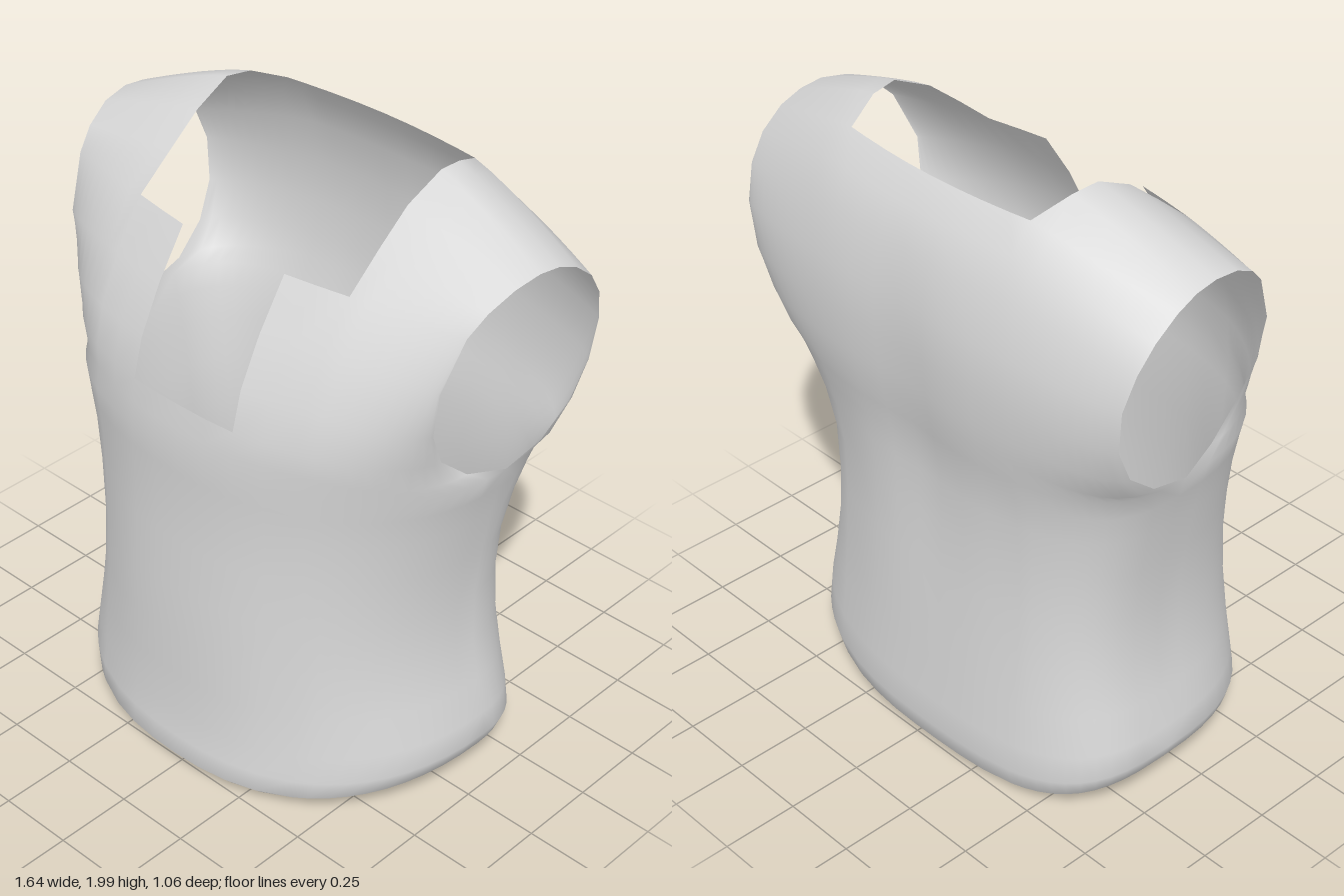
import * as THREE from 'three';
import { mergeVertices } from 'three/addons/utils/BufferGeometryUtils.js';

const { lerp, smoothstep } = THREE.MathUtils;
const SIDE_Z = -0.11;          // side seam and armhole centre

// Torso rows below the armpit: height, front depth, back depth, half width
const BODY = [
  [0.07, 0.45, -0.44, 0.61], [0.0, 0.505, -0.475, 0.655], [0.03, 0.53, -0.505, 0.69],
  [0.1, 0.52, -0.52, 0.713], [0.2, 0.508, -0.512, 0.703], [0.35, 0.503, -0.5, 0.675],
  [0.5, 0.5, -0.49, 0.65], [0.68, 0.493, -0.478, 0.645], [0.85, 0.482, -0.472, 0.664],
  [1.0, 0.477, -0.475, 0.69], [1.1, 0.48, -0.485, 0.713], [1.175, 0.48, -0.5, 0.735],
];
// Rows beside the armholes: inner height, centre depth, armhole height,
// armhole half width, curve power, curve root, neck half width
const FRONT = [
  [1.25, 0.473, 1.21, 0.703, 2.4, 0.52, 0.41], [1.325, 0.46, 1.3, 0.694, 2.6, 0.62, 0.41],
  [1.45, 0.425, 1.42, 0.71, 2.5, 0.75, 0.41], [1.6, 0.35, 1.57, 0.733, 2.1, 0.9, 0.41],
  [1.75, 0.26, 1.73, 0.762, 1.5, 1, 0.412], [1.85, 0.1, 1.79, 0.782, 1.5, 1, 0.41],
  [1.94, -0.03, 1.835, 0.802, 1.5, 1, 0.41], [2.0, -0.18, 1.85, 0.812, 1.5, 1, 0.415],
];
const BACK = [
  [1.25, -0.515, 1.21, 0.745, 2.8, 0.42, 0.4], [1.33, -0.525, 1.3, 0.757, 2.6, 0.55, 0.39],
  [1.45, -0.533, 1.42, 0.77, 2.4, 0.7, 0.38], [1.6, -0.53, 1.56, 0.787, 2.2, 0.85, 0.37],
  [1.75, -0.495, 1.67, 0.805, 2, 1, 0.37], [1.86, -0.45, 1.75, 0.815, 2, 1, 0.37],
  [1.94, -0.385, 1.81, 0.818, 1.9, 1, 0.367], [1.99, -0.27, 1.84, 0.815, 1.6, 1, 0.405],
  [2.0, -0.18, 1.85, 0.812, 1.5, 1, 0.415],
];

// Half-row columns: four across the neck, the rest easing out to the side
const OUTER = 10;
const INNER = [0, 0.1, 0.2, 0.3];
const HALF = INNER.length + OUTER;

// The torso is slightly twisted: its corners differ in roundness
function bodyPower(front, sign, y) {
  if (front) return sign < 0 ? 2.4 : 2.2;
  return sign > 0 ? lerp(2.15, 3, smoothstep(y, 0.85, 1.25)) : 3.05;
}

function rowsFor(front) {
  const body = BODY.map(([y, zf, zb, w]) => ({
    y, zc: front ? zf : zb, ye: y, xe: w, ze: SIDE_Z, nx: 0.41,
  }));
  const upper = (front ? FRONT : BACK).map(([y, zc, ye, xe, p, q, nx]) => {
    const k = Math.min(1, Math.abs(ye - 1.513) / 0.337);
    const ze = SIDE_Z + (front ? 0.31 : -0.32) * Math.sqrt(1 - k * k);
    return { y, zc, ye, xe, ze, p, q, nx };
  });
  return body.concat(upper);
}

function pointOn(row, column, front) {
  const i = Math.abs(column), sign = Math.sign(column);
  const t = Math.max(0, (i - INNER.length) / OUTER);
  const ease = Math.sin(t * Math.PI / 2);
  const x = i < INNER.length ? INNER[i] : lerp(row.nx, row.xe, ease);
  const u = Math.min(1, x / row.xe);
  const p = row.p ?? bodyPower(front, sign, row.y);
  const f = Math.pow(Math.max(0, 1 - Math.pow(u, p)), row.q ?? 1 / p);
  let z = lerp(row.ze, row.zc, f);
  let y = lerp(row.y, row.ye, ease ** 1.2);
  // wavy hem, higher at the sides
  const fade = Math.max(0, 1 - row.y / 0.4);
  y += fade * (front ? 0.03 + 0.06 * u ** 4 : 0.01 + 0.08 * u ** 5);
  // shallow groove along the spine
  if (!front && row.y > 0.6 && row.y < 1.9) {
    z += 0.02 * Math.exp(-((x / 0.13) ** 2)) * Math.sin((row.y - 0.6) / 1.3 * Math.PI);
  }
  return [sign * x, y, z];
}

// One panel from hem to shoulder line, with the neck opening left out
function addPanel(front, positions, indices) {
  const rows = rowsFor(front);
  const base = positions.length / 3;
  const count = 2 * HALF + 1;
  for (const row of rows) {
    for (let c = -HALF; c <= HALF; c++) positions.push(...pointOn(row, c, front));
  }
  for (let r = 0; r < rows.length - 1; r++) {
    for (let c = -HALF; c < HALF; c++) {
      const reach = Math.max(Math.abs(c), Math.abs(c + 1));
      const y = rows[r].y;
      const inSlot = front && y >= 1.32 && reach <= 2;
      const inNeck = y >= (front ? 1.74 : 1.93) && reach <= INNER.length;
      if (inSlot || inNeck) continue;
      const a = base + r * count + c + HALF;
      const b = a + 1, d = a + count, e = d + 1;
      if (front) indices.push(a, b, e, a, e, d);
      else indices.push(a, e, b, a, d, e);
    }
  }
}

export function createModel() {
  const group = new THREE.Group();
  group.name = 'vest';
  const fabric = new THREE.MeshStandardMaterial({ color: 0xd8d8d8, side: THREE.DoubleSide });
  fabric.name = 'grey fabric';

  // Front and back panels share the side seams and shoulder line
  const positions = [], indices = [];
  addPanel(true, positions, indices);
  addPanel(false, positions, indices);
  let geometry = new THREE.BufferGeometry();
  geometry.setAttribute('position', new THREE.Float32BufferAttribute(positions, 3));
  geometry.setIndex(indices);
  geometry = mergeVertices(geometry, 1e-4);
  geometry.computeVertexNormals();

  const shell = new THREE.Mesh(geometry, fabric);
  shell.name = 'vestShell';
  group.add(shell);
  return group;
}
